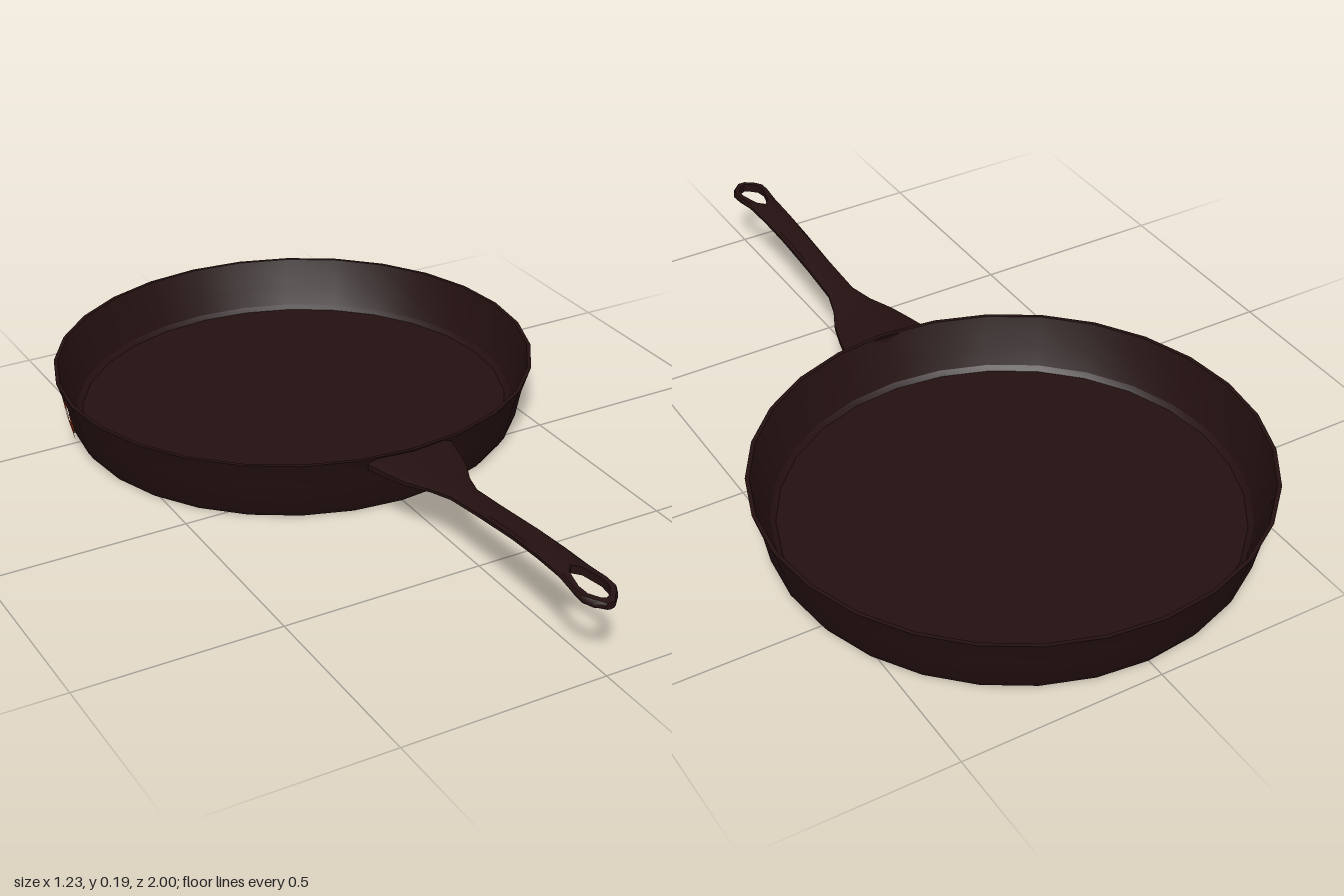
import * as THREE from 'three';
import { toCreasedNormals } from 'three/addons/utils/BufferGeometryUtils.js';

const iron = new THREE.MeshStandardMaterial({ color: 0x241010 });
iron.name = 'dark iron';
const paint = new THREE.MeshStandardMaterial({ color: 0x85280f, side: THREE.DoubleSide });
paint.name = 'rust paint';

function mesh(name, geometry, material) {
  const m = new THREE.Mesh(geometry, material);
  m.name = name;
  return m;
}

// Shallow flared bowl: outer wall up, thin rim, inner wall down to the floor
function bowlGeometry() {
  const profile = [
    [0, 0], [0.565, 0], [0.578, 0.02], [0.592, 0.09], [0.615, 0.16],
    [0.605, 0.16], [0.583, 0.09], [0.563, 0.04], [0.55, 0.03], [0, 0.03],
  ].map(([r, y]) => new THREE.Vector2(r, y));
  return toCreasedNormals(new THREE.LatheGeometry(profile, 28), 0.5);
}

// Handle lofted as two mirrored halves; the halves part around the hanging hole
function handleGeometry() {
  // z, outer half width, hole half width, bottom y, top y
  const stations = [
    [0.19, 0.115, 0, 0.115, 0.157], [0.25, 0.1, 0, 0.12, 0.155],
    [0.31, 0.082, 0, 0.127, 0.154], [0.37, 0.053, 0, 0.135, 0.156],
    [0.43, 0.035, 0, 0.139, 0.161], [0.55, 0.032, 0, 0.15, 0.175],
    [0.68, 0.033, 0, 0.165, 0.188], [0.78, 0.035, 0, 0.172, 0.193],
    [0.852, 0.037, 0, 0.173, 0.194], [0.872, 0.038, 0.017, 0.173, 0.193],
    [0.925, 0.044, 0.03, 0.17, 0.191], [0.955, 0.045, 0.028, 0.167, 0.189],
    [0.978, 0.033, 0.012, 0.164, 0.187], [0.984, 0.027, 0, 0.164, 0.186],
    [1.0, 0.012, 0, 0.166, 0.183],
  ];
  const ring = ([z, xo, xi, yb, yt], s) => {
    const h = yt - yb;
    const lerp = (t) => xi + (xo - xi) * t;
    return [
      [xi, yt], [lerp(0.8), yt], [xo, yt - 0.25 * h],
      [xo, yt - 0.6 * h], [lerp(0.7), yb + 0.08 * h], [xi, yb],
    ].map(([x, y]) => [x * s, y, z]);
  };
  const pos = [];
  for (const s of [1, -1]) {
    const tri = (a, b, c) => pos.push(...a, ...(s > 0 ? b : c), ...(s > 0 ? c : b));
    for (let i = 0; i < stations.length - 1; i++) {
      const p = ring(stations[i], s), q = ring(stations[i + 1], s);
      const holed = stations[i][2] > 0 || stations[i + 1][2] > 0;
      for (let k = 0; k < (holed ? 6 : 5); k++) {
        const n = (k + 1) % 6;
        tri(p[k], q[k], p[n]);
        tri(q[k], q[n], p[n]);
      }
    }
    // Tip and root caps
    const tip = ring(stations[stations.length - 1], s), root = ring(stations[0], s);
    for (let k = 1; k < 5; k++) {
      tri(tip[0], tip[k + 1], tip[k]);
      tri(root[0], root[k], root[k + 1]);
    }
  }
  const g = new THREE.BufferGeometry();
  g.setAttribute('position', new THREE.Float32BufferAttribute(pos, 3));
  return toCreasedNormals(g, 0.7);
}

// Flat silhouette wrapped onto the outer wall; startDeg runs from the back towards -x
function decal(points, startDeg) {
  const g = new THREE.ShapeGeometry(new THREE.Shape(points.map(([u, v]) => new THREE.Vector2(u, v))));
  const p = g.attributes.position;
  for (let i = 0; i < p.count; i++) {
    const y = p.getY(i), r = 0.58 + 0.2 * y;
    const a = THREE.MathUtils.degToRad(startDeg) + p.getX(i) / 0.59;
    p.setXYZ(i, -r * Math.sin(a), y, -r * Math.cos(a));
  }
  g.computeVertexNormals();
  return g;
}

export function createModel() {
  const model = new THREE.Group();
  model.name = 'fryingPan';

  const pan = new THREE.Group();
  pan.name = 'pan';
  pan.position.z = -0.3975;
  pan.scale.z = 0.98;
  pan.add(mesh('bowl', bowlGeometry(), iron));

  // Painted farm animals on the wall
  const cow = [
    [0, 0.02], [0.015, 0.02], [0.02, 0.05], [0.035, 0.055], [0.075, 0.05], [0.08, 0.02],
    [0.093, 0.02], [0.097, 0.055], [0.12, 0.052], [0.143, 0.055], [0.145, 0.07],
    [0.118, 0.09], [0.08, 0.088], [0.03, 0.092], [0.008, 0.085], [0, 0.06],
  ];
  const pig = [
    [0.01, 0.025], [0.022, 0.025], [0.027, 0.045], [0.055, 0.045], [0.06, 0.025], [0.07, 0.025],
    [0.074, 0.055], [0.09, 0.065], [0.085, 0.085], [0.07, 0.092], [0.03, 0.088], [0.008, 0.07],
  ];
  const rooster = [
    [0.045, 0.018], [0.06, 0.018], [0.06, 0.038], [0.085, 0.05], [0.1, 0.08], [0.1, 0.108],
    [0.082, 0.105], [0.07, 0.075], [0.05, 0.072], [0.035, 0.09], [0.01, 0.09], [0, 0.06],
    [0.02, 0.042], [0.045, 0.036],
  ];
  pan.add(mesh('paintedCow', decal(cow, 48), paint));
  pan.add(mesh('paintedPig', decal(pig, 64), paint));
  pan.add(mesh('paintedRooster', decal(rooster, 75.5), paint));

  model.add(pan, mesh('handle', handleGeometry(), iron));
  return model;
}
